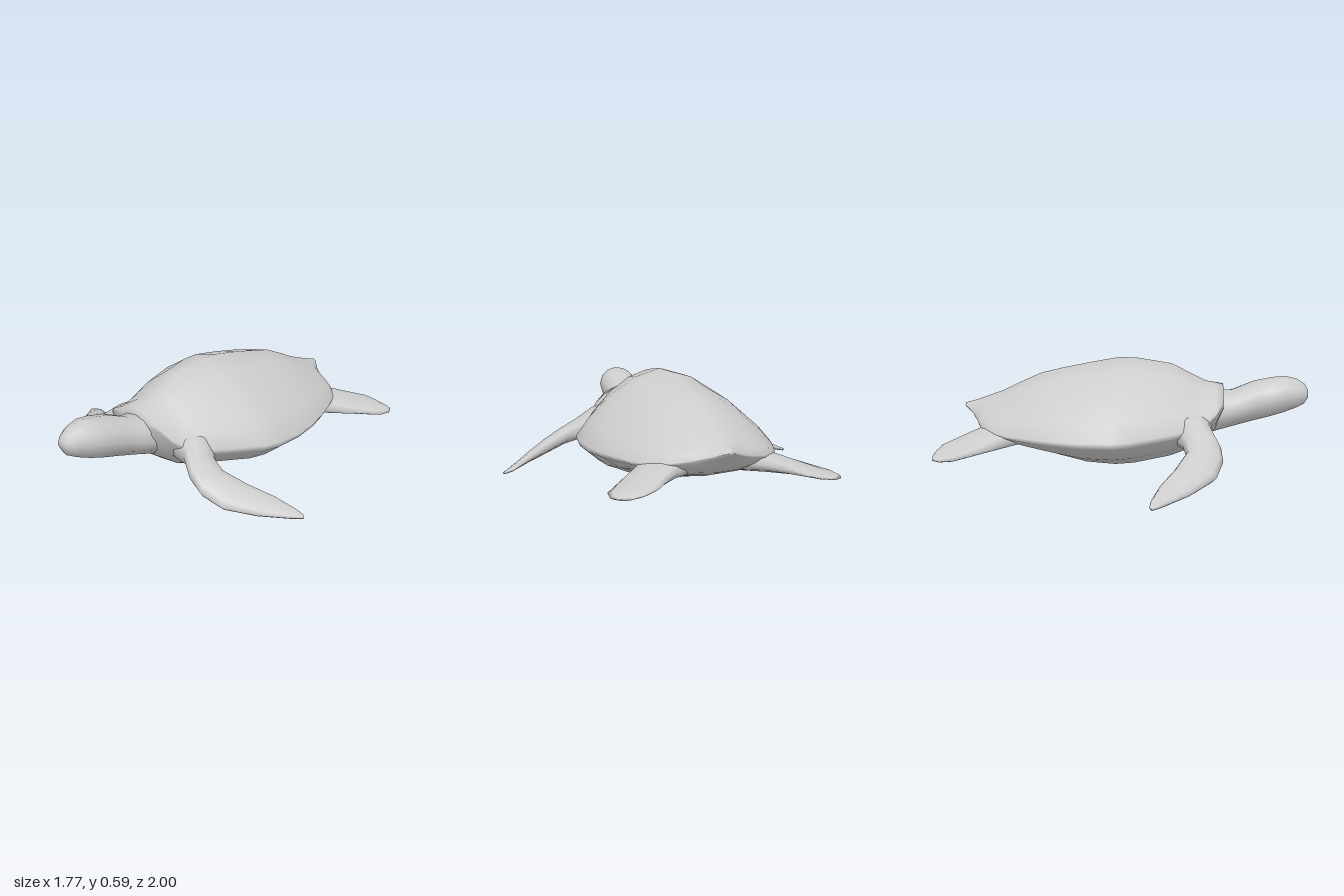
import * as THREE from 'three';

const material = new THREE.MeshStandardMaterial({ color: 0xcccccc });

// Closed skin through rings of equal length, faces turned outward
function loft(name, rings) {
  const n = rings[0].length, pts = rings.flat(), idx = [];
  for (let r = 0; r < rings.length - 1; r++) {
    for (let i = 0; i < n; i++) {
      const a = r * n + i, b = r * n + (i + 1) % n;
      idx.push(a, b, b + n, a, b + n, a + n);
    }
  }
  // End caps as fans
  [0, rings.length - 1].forEach((r) => {
    const mid = new THREE.Vector3();
    rings[r].forEach((p) => mid.addScaledVector(p, 1 / n));
    const c = pts.push(mid) - 1;
    for (let i = 0; i < n; i++) {
      const a = r * n + i, b = r * n + (i + 1) % n;
      if (r === 0) idx.push(c, b, a); else idx.push(c, a, b);
    }
  });
  // Signed volume decides the winding
  let volume = 0;
  const cross = new THREE.Vector3();
  for (let i = 0; i < idx.length; i += 3) {
    volume += pts[idx[i]].dot(cross.crossVectors(pts[idx[i + 1]], pts[idx[i + 2]]));
  }
  if (volume < 0) idx.reverse();
  const geometry = new THREE.BufferGeometry().setFromPoints(pts);
  geometry.setIndex(idx);
  geometry.computeVertexNormals();
  const mesh = new THREE.Mesh(geometry, material);
  mesh.name = name;
  return mesh;
}

// Half cross-section of the body: share of half width, share of height above or below the rim
const bodyProfile = [[0, 1], [0.3, 0.88], [0.6, 0.62], [0.85, 0.3], [1, 0.04],
  [0.97, -0.1], [0.77, -0.5], [0.4, -0.88], [0, -1]];

function bodyRing([z, w, rim, top, bottom]) {
  const half = bodyProfile.map(([u, v]) =>
    new THREE.Vector3(u * w, rim + v * (v > 0 ? top - rim : rim - bottom), z));
  const mirrored = half.slice(1, -1).reverse().map((p) => new THREE.Vector3(-p.x, p.y, p.z));
  return [...half, ...mirrored];
}

function headRing([z, w, top, bottom]) {
  return Array.from({ length: 12 }, (_, i) => {
    const a = i / 12 * Math.PI * 2;
    return new THREE.Vector3(Math.cos(a) * w, (top + bottom) / 2 + Math.sin(a) * (top - bottom) / 2, z);
  });
}

// Flat oval between a leading and a trailing edge point
function flipperRing([lead, trail, thickness], side) {
  const a = new THREE.Vector3(...lead), b = new THREE.Vector3(...trail);
  const centre = a.clone().add(b).multiplyScalar(0.5);
  const chord = a.sub(b).multiplyScalar(0.5);
  return Array.from({ length: 10 }, (_, i) => {
    const t = i / 10 * Math.PI * 2;
    const p = centre.clone().addScaledVector(chord, Math.cos(t));
    p.y = Math.max(0.005, p.y + Math.sin(t) * thickness);
    p.x *= side;
    return p;
  });
}

// z, half width, rim height, top, bottom
const bodySections = [
  [0.53, 0.19, 0.38, 0.445, 0.3],
  [0.49, 0.25, 0.33, 0.455, 0.2],
  [0.43, 0.295, 0.28, 0.465, 0.14],
  [0.36, 0.335, 0.25, 0.5, 0.09],
  [0.24, 0.395, 0.235, 0.56, 0.045],
  [0.04, 0.495, 0.22, 0.59, 0.008],
  [-0.06, 0.515, 0.215, 0.59, 0],
  [-0.22, 0.515, 0.215, 0.56, 0.012],
  [-0.38, 0.485, 0.215, 0.525, 0.055],
  [-0.5, 0.445, 0.215, 0.495, 0.085],
  [-0.62, 0.395, 0.215, 0.44, 0.115],
  [-0.72, 0.345, 0.22, 0.39, 0.145],
  [-0.8, 0.26, 0.235, 0.36, 0.175],
  [-0.84, 0.17, 0.25, 0.345, 0.21],
  [-0.88, 0.09, 0.27, 0.33, 0.245],
  [-0.945, 0.015, 0.3, 0.312, 0.29],
];

// z, half width, top, bottom
const headSections = [
  [0.3, 0.2, 0.4, 0.13],
  [0.48, 0.15, 0.41, 0.175],
  [0.58, 0.13, 0.415, 0.205],
  [0.7, 0.128, 0.468, 0.24],
  [0.8, 0.124, 0.49, 0.268],
  [0.87, 0.11, 0.498, 0.29],
  [0.94, 0.08, 0.482, 0.318],
  [0.98, 0.056, 0.455, 0.34],
  [1, 0.035, 0.425, 0.375],
];

// Leading edge, trailing edge, half thickness
const frontFlipperSections = [
  [[0.15, 0.28, 0.47], [0.15, 0.26, 0.2], 0.1],
  [[0.3, 0.25, 0.465], [0.32, 0.23, 0.26], 0.085],
  [[0.4, 0.19, 0.515], [0.38, 0.2, 0.31], 0.06],
  [[0.49, 0.14, 0.525], [0.47, 0.17, 0.33], 0.05],
  [[0.6, 0.09, 0.49], [0.6, 0.125, 0.275], 0.042],
  [[0.73, 0.05, 0.37], [0.72, 0.085, 0.21], 0.027],
  [[0.85, 0.022, 0.225], [0.82, 0.04, 0.168], 0.014],
  [[0.885, 0.018, 0.18], [0.865, 0.025, 0.163], 0.008],
];

const hindFlipperSections = [
  [[0.28, 0.2, -0.5], [0.08, 0.2, -0.74], 0.06],
  [[0.39, 0.18, -0.64], [0.22, 0.2, -0.83], 0.05],
  [[0.48, 0.165, -0.735], [0.31, 0.185, -0.91], 0.034],
  [[0.59, 0.145, -0.865], [0.38, 0.17, -0.98], 0.02],
  [[0.6, 0.14, -0.94], [0.44, 0.155, -0.998], 0.013],
  [[0.575, 0.142, -0.985], [0.5, 0.145, -1], 0.008],
];

export function createModel() {
  const turtle = new THREE.Group();
  turtle.name = 'seaTurtle';
  turtle.add(loft('shellBody', bodySections.map(bodyRing)));
  turtle.add(loft('headAndNeck', headSections.map(headRing)));
  for (const [side, label] of [[1, 'left'], [-1, 'right']]) {
    turtle.add(loft(label + 'FrontFlipper', frontFlipperSections.map((s) => flipperRing(s, side))));
    turtle.add(loft(label + 'HindFlipper', hindFlipperSections.map((s) => flipperRing(s, side))));
  }
  return turtle;
}
